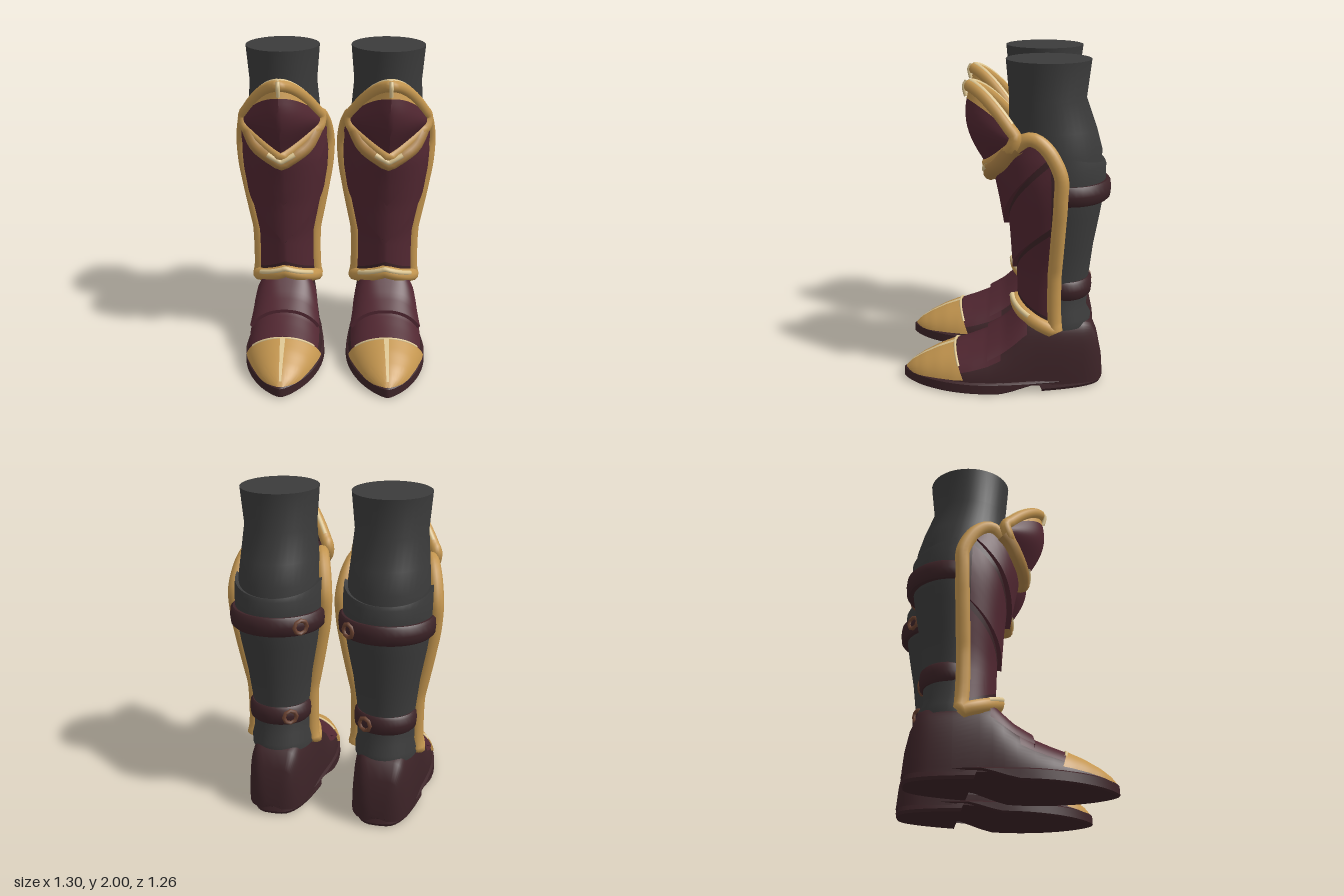
import * as THREE from 'three';
import { toCreasedNormals } from 'three/addons/utils/BufferGeometryUtils.js';

const mat = (name, color) => new THREE.MeshStandardMaterial({ name, color, side: THREE.DoubleSide });
const RAD = Math.PI / 180;

// piecewise linear lookup: table rows are [key, value, value, ...], keys ascending
function look(table, k, col = 1) {
  let i = 1;
  while (i < table.length - 1 && table[i][0] < k) i++;
  const a = table[i - 1], b = table[i];
  const t = THREE.MathUtils.clamp((k - a[0]) / (b[0] - a[0]), 0, 1);
  return a[col] + (b[col] - a[col]) * t;
}
const steps = (n, a, b) => Array.from({ length: n + 1 }, (_, i) => a + (b - a) * i / n);

// skin over rows of points
function loft(rows, crease = 0.6) {
  const n = rows[0].length, index = [];
  for (let r = 0; r < rows.length - 1; r++) for (let i = 0; i < n - 1; i++) {
    const a = r * n + i, b = a + n;
    index.push(a, a + 1, b, a + 1, b + 1, b);
  }
  const geo = new THREE.BufferGeometry();
  geo.setAttribute('position', new THREE.Float32BufferAttribute(rows.flat(2), 3));
  geo.setIndex(index);
  return toCreasedNormals(geo, crease);
}

// elliptical ring, tilted so that its front is higher
const ring = (y, w, zf, zb, tilt = 0) => steps(40, 0, 2 * Math.PI).map((t) =>
  [w * Math.sin(t), y + tilt * Math.cos(t), (zf + zb) / 2 + (zf - zb) / 2 * Math.cos(t)]);
const cap = (row, x, y, z) => row.map(() => [x, y, z]);

function tube(points, r, closed = false) {
  const curve = new THREE.CatmullRomCurve3(points.map((p) => new THREE.Vector3(...p)), closed);
  return new THREE.TubeGeometry(curve, points.length * 2, r, 10, closed);
}

// shin guard: [height, half width, front z, back z]
const SHIN = [[0.4, 0.191, -0.085, -0.315], [0.55, 0.182, -0.085, -0.305], [0.75, 0.184, -0.078, -0.305],
  [1.0, 0.234, -0.04, -0.32], [1.2, 0.27, 0.01, -0.332], [1.32, 0.279, 0.045, -0.335],
  [1.45, 0.268, 0.07, -0.335], [1.6, 0.241, 0.08, -0.33]];
const SHIN_TOP = [[0, 1.34], [30, 1.43], [45, 1.52], [58, 1.575], [68, 1.575], [78, 1.52], [85, 1.43], [90, 1.33]];
const shinTop = (a) => look(SHIN_TOP, Math.abs(a));
const shinBottom = (a) => 0.53 - 0.13 * Math.abs(a) / 90;
const lame = (y0, rise) => (a) => Math.min(y0 + rise * Math.abs(a) / 73, shinTop(a) - 0.005);
function shin(a, y, off = 0) {
  const w = look(SHIN, y, 1), f = look(SHIN, y, 2), b = look(SHIN, y, 3);
  const c = 0.8 * Math.cos(a * RAD) + 0.2 * (1 - Math.abs(a) / 90);
  return [(w + off) * Math.sin(a * RAD), y, b + (f - b) * c + off * Math.cos(a * RAD)];
}

// foot: [z, half width, height, squareness exponent]
const FOOT = [[-0.607, 0.06, 0.1, 0.4], [-0.598, 0.1, 0.2, 0.4], [-0.575, 0.135, 0.31, 0.35], [-0.53, 0.165, 0.42, 0.3],
  [-0.48, 0.18, 0.44, 0.3], [-0.35, 0.2, 0.45, 0.3], [-0.2, 0.213, 0.5, 0.45], [-0.13, 0.222, 0.49, 0.55],
  [-0.07, 0.23, 0.43, 0.6], [0, 0.238, 0.365, 0.75], [0.1, 0.243, 0.3, 0.9], [0.2, 0.238, 0.262, 1], [0.3, 0.218, 0.228, 1],
  [0.4, 0.18, 0.195, 1], [0.5, 0.13, 0.15, 1], [0.57, 0.075, 0.108, 1], [0.615, 0.015, 0.065, 1]];
function foot(z, deg, off = 0) {
  const w = look(FOOT, z, 1) + off, h = look(FOOT, z, 2) + off, p = look(FOOT, z, 3);
  const c = Math.cos(deg * RAD), s = Math.sin(deg * RAD);
  return [w * Math.sign(c) * Math.abs(c) ** p, 0.05 + (h - 0.05) * Math.max(s, 0), z];
}
// plate lying on the foot, narrowing towards the ankle, with a lip at its front edge
function footPlate(z0, z1, d0, d1, back, lip) {
  const row = (v, off) => steps(30, 0, 1).map((u) => {
    const d = d0 + (d1 - d0) * v;
    return foot(z0 + (z1 - z0) * v, d + (180 - 2 * d) * u, off);
  });
  return loft([...steps(10, 0, 1).map((v) => row(v, back + (lip - back) * v)), row(1, -0.01)]);
}

// sole outline: broad heel, pointed toe; sMax cuts it straight across for the heel block
const sole = (y, grow, sMax = 1) => steps(60, 0, 2 * Math.PI).map((t) => {
  const s = Math.min(sMax, Math.sin(t)), front = s > 0, c = Math.sqrt(1 - s * s);
  const half = (0.252 + grow) * (front ? c ** 1.4 : c ** 0.6 * (1 + 0.15 * s));
  const z = 0.09 + s * (front ? 0.53 + grow : 0.695 + grow);
  const k = THREE.MathUtils.clamp(Math.cos(t) / Math.max(c, 1e-6), -1, 1);
  return [half * k, typeof y === 'function' ? y(z) : y, z];
});

// knee plate surface, s across and v downwards, rounder in the middle
function knee(s, v, back = 0) {
  const mid = Math.sin(Math.PI * v), a = Math.abs(s), r = a + (a * a - a) * 0.7 * mid;
  const top = [1.845 - 0.25 * a ** 1.7, 0.2 - 0.265 * r ** 1.15];
  const low = [1.38 + 0.16 * a ** 1.15, 0.1 - 0.15 * r];
  return [(0.238 + 0.012 * mid) * s, top[0] + (low[0] - top[0]) * v,
    top[1] + (low[1] - top[1]) * v + 0.064 * mid * (1 - a * a) - back];
}

function buildLeg(inner, m) {
  const leg = new THREE.Group();
  const add = (name, geo, material) => {
    const mesh = new THREE.Mesh(geo, material);
    mesh.name = name;
    leg.add(mesh);
    return mesh;
  };

  // trouser leg and padded sock with a sloping cuff
  const top = ring(2, 0.23, -0.01, -0.5);
  add('trouserLeg', loft([cap(top, 0, 2, -0.255), top, ring(1.78, 0.212, -0.03, -0.475), ring(1.6, 0.228, -0.03, -0.54),
    ring(1.48, 0.24, -0.04, -0.573), ring(1.3, 0.24, -0.05, -0.57)]), m.grey);
  add('sock', loft([ring(1.47, 0.225, -0.05, -0.55, 0.06), ring(1.485, 0.26, -0.04, -0.588, 0.065),
    ring(1.4, 0.265, -0.04, -0.598), ring(1.28, 0.264, -0.05, -0.598), ring(1.1, 0.24, -0.08, -0.57),
    ring(0.9, 0.203, -0.11, -0.535), ring(0.7, 0.179, -0.12, -0.512), ring(0.5, 0.178, -0.12, -0.503),
    ring(0.45, 0.19, -0.11, -0.53), ring(0.4, 0.19, -0.11, -0.528)]), m.grey);

  // straps with buckles on the inner back
  for (const [name, y, w, zf, zb, bx] of [['upperStrap', 1.255, 0.285, -0.1, -0.63, 0.19],
    ['lowerStrap', 0.645, 0.19, -0.19, -0.532, 0.1]]) {
    const profile = [[-0.9, 0.06], [-1, 0.018], [-0.75, 0.004], [0, 0], [0.75, 0.004], [1, 0.018], [0.9, 0.06]];
    add(name, loft(profile.map(([k, d]) => ring(y + k * 0.058, w - d, zf - d, zb + d)), 0.9), m.brown);
    const rz = (zf - zb) / 2, nz = Math.sqrt(1 - (bx / w) ** 2);
    const buckle = add(name + 'Buckle', new THREE.TorusGeometry(0.04, 0.013, 6, 8), m.bronze);
    buckle.position.set(inner * bx, y, (zf + zb) / 2 - rz * nz);
    buckle.rotation.y = Math.atan2(inner * bx / (w * w), -nz / rz);
  }

  // shin guard of three overlapping plates, dark leather along the hem, the laps and the side edges
  const across = [...steps(5, -90, -79), ...steps(48, -79, 79), ...steps(5, 79, 90)];
  const v1 = lame(1.02, 0.43), v2 = lame(0.74, 0.3);
  const hem = (a) => shinBottom(a) + 0.065;
  const under = (v) => (a) => v(a) - 0.012 - 0.04 * Math.abs(a) / 90;
  for (const [from, to, o0, o1, color, lip] of [[shinBottom, hem, 0, 0, m.brown], [hem, under(v2), 0, 0, m.maroon],
    [under(v2), v2, 0, 0, m.brown], [v2, under(v1), 0.026, 0.004, m.maroon, true],
    [under(v1), v1, 0.004, 0.002, m.brown], [v1, shinTop, 0.034, 0.01, m.maroon, true]]) {
    const row = (t, off) => across.map((a) =>
      shin(a, from(a) + (to(a) - from(a)) * t, off * Math.sqrt(Math.cos(a * RAD) + 1e-6)));
    const rows = steps(6, 0, 1).map((t) => row(t, o0 + (o1 - o0) * t));
    if (lip) rows.unshift(row(0, 0));
    for (const [i, j, c] of [[0, 6, m.brown], [6, 55, color], [55, 61, m.brown]])
      add('shinGuard', loft(rows.map((r) => r.slice(i, j)), 0.7), c);
  }

  // gold border of the shin guard, collar and highlights
  const a24 = steps(24, -88, 88);
  const side = (sgn) => steps(10, 1.25, 0.45).map((y) => shin(88 * sgn, y));
  const border = [...a24.map((a) => shin(a, shinTop(a), 0.003)), ...side(1),
    ...a24.slice().reverse().map((a) => shin(a, shinBottom(a), 0.008)), ...side(-1).reverse()];
  add('shinBorder', tube(border, 0.043, true), m.gold);
  add('shinCollar', tube(steps(16, -52, 52).map((a) => shin(a, shinTop(a) - 0.01, 0.03)), 0.046), m.darkGold);
  add('collarHighlight', tube(steps(8, -14, 14).map((a) => shin(a, shinTop(a) + 0.01, 0.062)), 0.017), m.cream);
  add('hemHighlight', tube(steps(16, -50, 50).map((a) => shin(a, shinBottom(a) + 0.026, 0.035)), 0.016), m.cream);

  // knee plate with dark lining, gold rim and pale peak
  const s30 = steps(30, -1, 1);
  const rimV = (s) => 0.06 + 0.1 * (1 - s * s);
  add('kneeBand', loft(steps(4, 0, 1).map((t) => s30.map((s) => knee(s, rimV(s) * t)))), m.gold);
  add('kneePlate', loft(steps(12, 0, 1).map((t) => s30.map((s) => knee(s, rimV(s) + (1 - rimV(s)) * t)))), m.maroon);
  add('kneeLining', loft([...steps(8, 0, 0.6).map((v) => s30.map((s) => knee(s, v, 0.016))),
    s30.map((s) => [0.2 * s, knee(s, 0.6)[1], -0.16])]), m.brown);
  const rim = [...steps(20, -1, 1).map((s) => knee(s, 0)), ...steps(20, 0.96, -0.96).map((s) => knee(s, 1))];
  add('kneeRim', tube(rim, 0.036, true), m.gold);
  add('kneeRimHighlight', tube(steps(20, -0.9, 0.9).map((s) => {
    const [x, y, z] = knee(s, 0);
    return [x, y + 0.023, z - 0.008];
  }), 0.017), m.cream);
  add('kneePeak', tube([[0, 1.872, 0.214], [0, 1.845, 0.229], [0, 1.815, 0.226], [0, 1.785, 0.218]], 0.012), m.cream);

  // boot with maroon instep plates
  const bootRows = FOOT.map(([z]) => steps(36, 0, 180).map((d) => foot(z, d)));
  bootRows.unshift(cap(bootRows[0], 0, 0.07, -0.608));
  add('boot', loft(bootRows, 0.9), m.brown);
  add('lowerInstepPlate', footPlate(0.02, 0.29, 32, 23, 0.012, 0.012), m.maroon);
  add('upperInstepPlate', footPlate(-0.14, 0.1, 46, 36, 0.014, 0.034), m.maroon);

  // gold toe cap with a pale ridge and edge
  const capRow = (v, d, off) => {
    const z0 = 0.235 + 0.07 * Math.sin(d * RAD);
    return foot(z0 + (0.612 - z0) * v, d, off);
  };
  const capArc = steps(36, 12, 168);
  add('toeCap', loft([capArc.map((d) => capRow(0, d, 0)),
    ...steps(14, 0, 1).map((v) => capArc.map((d) => capRow(v, d, 0.018 - 0.01 * v)))]), m.gold);
  add('toeRidge', loft(steps(14, 0, 0.93).map((v) => [-0.017, -0.006, 0.006, 0.017].map((x) => {
    const p = capRow(v, 90, 0.021 - 0.009 * v);
    return [x * (1 - 0.6 * v), p[1] + 0.002, p[2]];
  }))), m.cream);
  add('toeCapEdge', tube(steps(16, 35, 145).map((d) => capRow(0, d, 0.015)), 0.008), m.cream);

  // sole with raised arch, and heel block
  const arch = (z) => (z < 0 ? Math.min(0.06, 0.005 - 0.3 * z) : 0.005);
  const soleTop = sole(0.085, -0.02), soleEnd = sole(arch, -0.006);
  add('sole', loft([cap(soleTop, 0, 0.085, 0), soleTop, sole(0.068, 0.004), sole((z) => arch(z) + 0.01, 0.006),
    soleEnd, soleEnd.map(([, y, z]) => [0, y, z])], 0.7), m.brown);
  const heelTop = sole(0.08, -0.01, -0.43);
  add('heel', loft([heelTop, sole(0.03, 0.003, -0.455), sole(0.012, -0.006, -0.465), cap(heelTop, 0, 0.012, -0.4)]), m.brown);
  return leg;
}

export function createModel() {
  const m = {
    grey: mat('charcoal cloth', 0x3b3b3b), maroon: mat('maroon plate', 0x512731),
    brown: mat('dark brown leather', 0x3c2327), gold: mat('gold trim', 0xc4964f),
    darkGold: mat('aged gold', 0xab8045), cream: mat('pale gold highlight', 0xdcc591),
    bronze: mat('bronze buckle', 0x6b4230),
  };
  const model = new THREE.Group();
  model.name = 'armouredBoots';
  for (const s of [1, -1]) {
    const leg = buildLeg(-s, m);
    leg.name = s > 0 ? 'leftLeg' : 'rightLeg';
    leg.position.x = 0.328 * s;
    model.add(leg);
  }
  return model;
}
